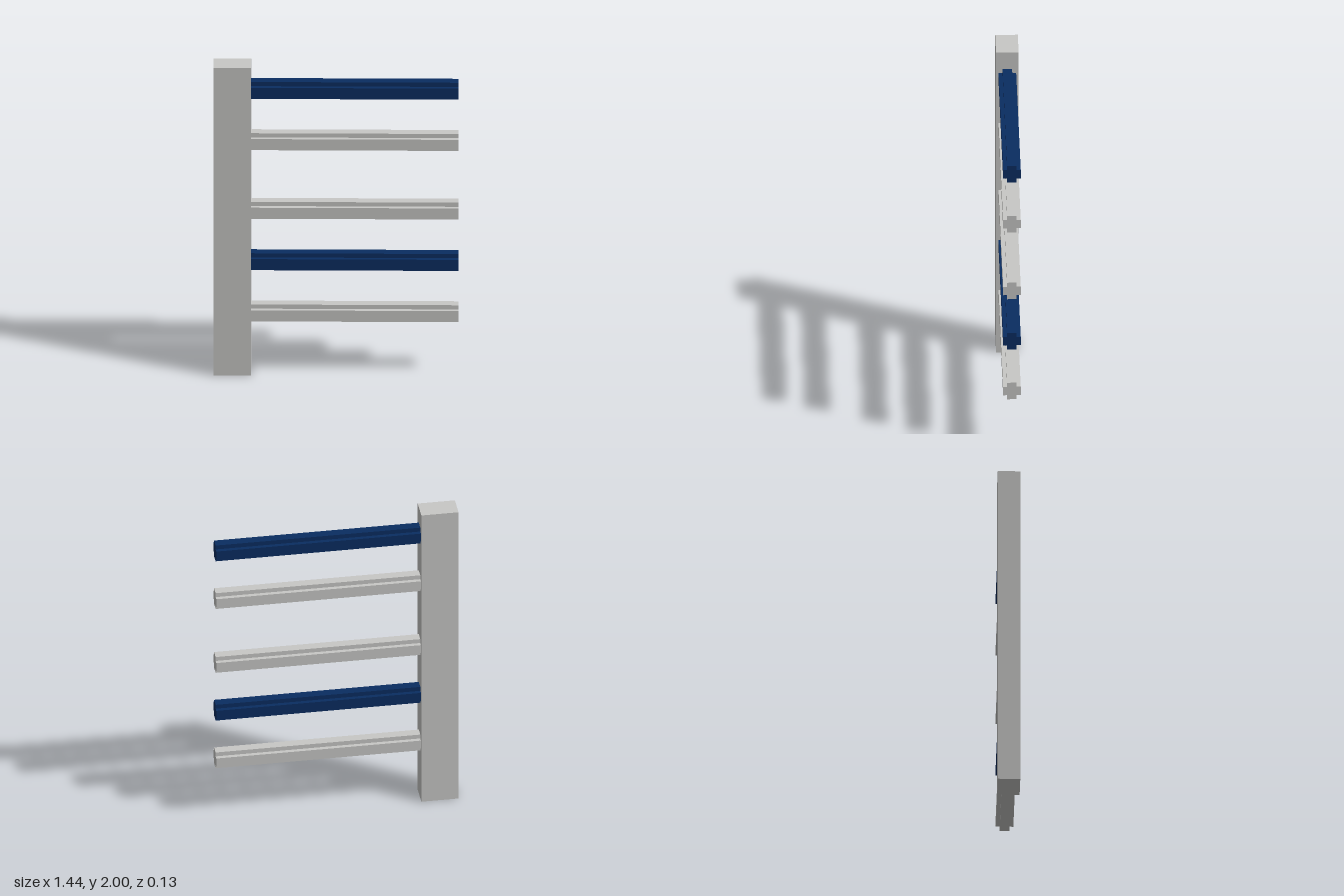
import * as THREE from 'three';

export function createModel() {
  const model = new THREE.Group();
  const grey = new THREE.MeshStandardMaterial({ color: 0xc8c8c6 });
  grey.name = 'light grey';
  const navy = new THREE.MeshStandardMaterial({ color: 0x0a2d61 });
  navy.name = 'navy blue';

  // Upright post
  const post = new THREE.Mesh(new THREE.BoxGeometry(0.222, 2, 0.133), grey);
  post.name = 'post';
  post.position.set(-0.611, 1, 0);
  model.add(post);

  // Cross-shaped section shared by all rails
  const a = 0.028, h = 0.055, w = 0.052;
  const cross = new THREE.Shape([
    [a, -h], [a, -a], [w, -a], [w, a], [a, a], [a, h],
    [-a, h], [-a, a], [-w, a], [-w, -a], [-a, -a], [-a, -h],
  ].map(([x, y]) => new THREE.Vector2(x, y)));
  const railGeometry = new THREE.ExtrudeGeometry(cross, { depth: 1.222, bevelEnabled: false });
  railGeometry.rotateY(Math.PI / 2).translate(-0.5, 0, 0);

  // Rails reaching out to the left of the post
  const rails = [[0.39, grey], [0.723, navy], [1.057, grey], [1.503, grey], [1.836, navy]];
  rails.forEach(([y, material], i) => {
    const rail = new THREE.Mesh(railGeometry, material);
    rail.name = `rail${i + 1}`;
    rail.position.y = y;
    model.add(rail);
  });

  return model;
}
